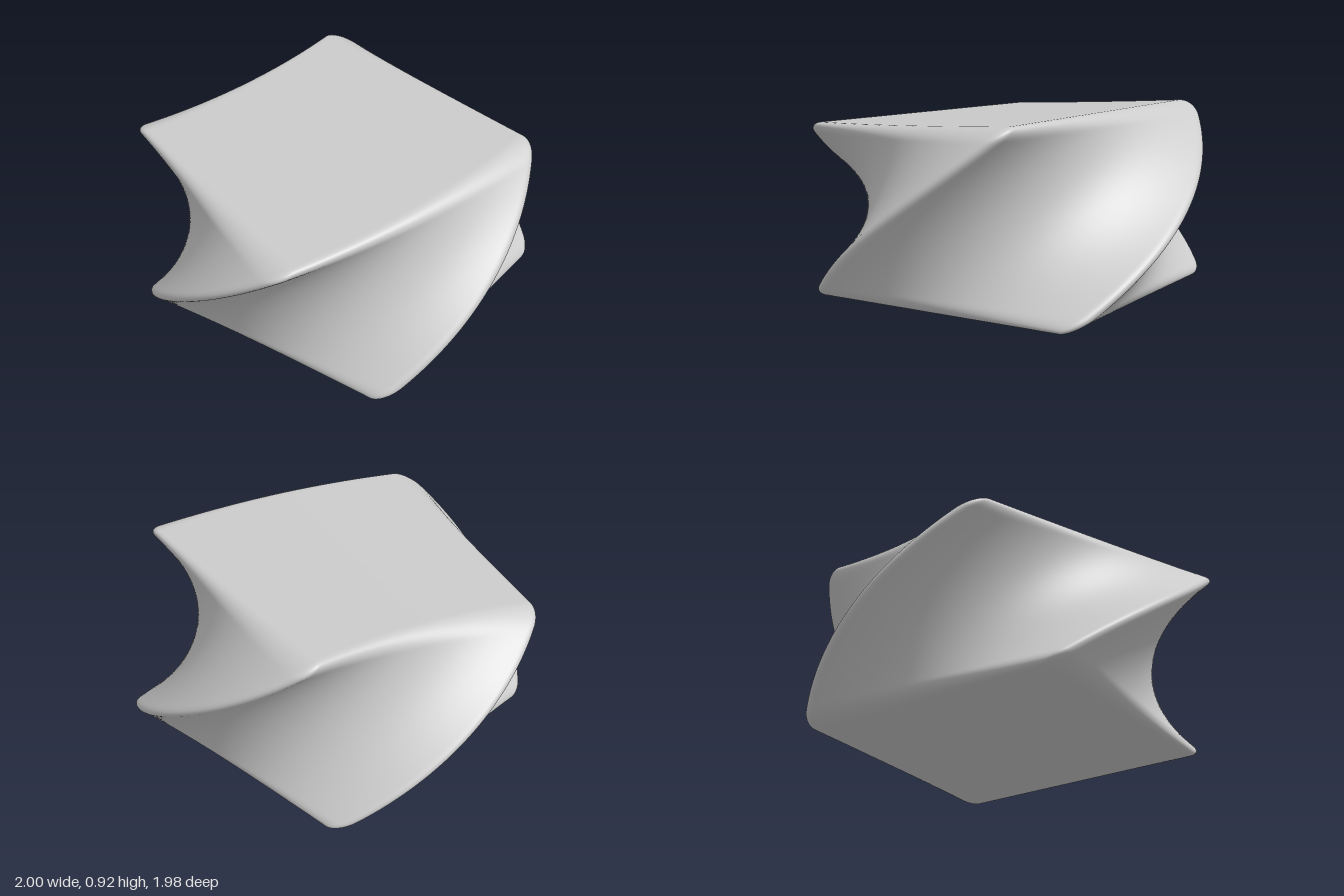
import * as THREE from 'three';
import { mergeVertices } from 'three/addons/utils/BufferGeometryUtils.js';

const HALF = 0.728;        // half width of the square section
const HEIGHT = 0.925;
const ROUND = 0.07;        // edge rounding
const TWIST = THREE.MathUtils.degToRad(88); // twist per unit of height

// Rounded box, finely divided, with the grid crowded towards the edges
function roundedBlock(w, h, d, r) {
  const geo = new THREE.BoxGeometry(2, 2, 2, 72, 72, 72);
  geo.deleteAttribute('uv');
  geo.deleteAttribute('normal');
  const size = new THREE.Vector3(w, h, d).multiplyScalar(0.5);
  const core = size.clone().subScalar(r);
  const low = core.clone().negate();
  const pos = geo.attributes.position;
  const p = new THREE.Vector3(), c = new THREE.Vector3();
  const crowd = (u) => Math.sin(u * Math.PI / 2);
  for (let i = 0; i < pos.count; i++) {
    p.fromBufferAttribute(pos, i);
    p.set(crowd(p.x), crowd(p.y), crowd(p.z)).multiply(size);
    c.copy(p).clamp(low, core);
    p.sub(c).setLength(r).add(c);
    pos.setXYZ(i, p.x, p.y, p.z);
  }
  return mergeVertices(geo, 1e-5);
}

// Slope the top, lean the block slightly, then twist it about the upright axis
function slopeAndTwist(geo) {
  const pos = geo.attributes.position;
  for (let i = 0; i < pos.count; i++) {
    const t = pos.getY(i) / HEIGHT + 0.5;
    const v = pos.getZ(i) / HALF;
    const x = pos.getX(i) + 0.025 - 0.035 * t;
    const z = pos.getZ(i) * (1 - 0.035 * t) + 0.02 - 0.09 * t;
    const y = t * (0.867 + 0.063 * v);
    const a = TWIST * y, s = Math.sin(a), k = Math.cos(a);
    pos.setXYZ(i, x * k + z * s, y, z * k - x * s);
  }
  geo.computeVertexNormals();
  return geo;
}

export function createModel() {
  const group = new THREE.Group();
  group.name = 'twistedBlock';
  const block = new THREE.Mesh(
    slopeAndTwist(roundedBlock(HALF * 2, HEIGHT, HALF * 2, ROUND)),
    new THREE.MeshStandardMaterial({ color: 0xcccccc })
  );
  block.name = 'block';
  group.add(block);
  return group;
}
